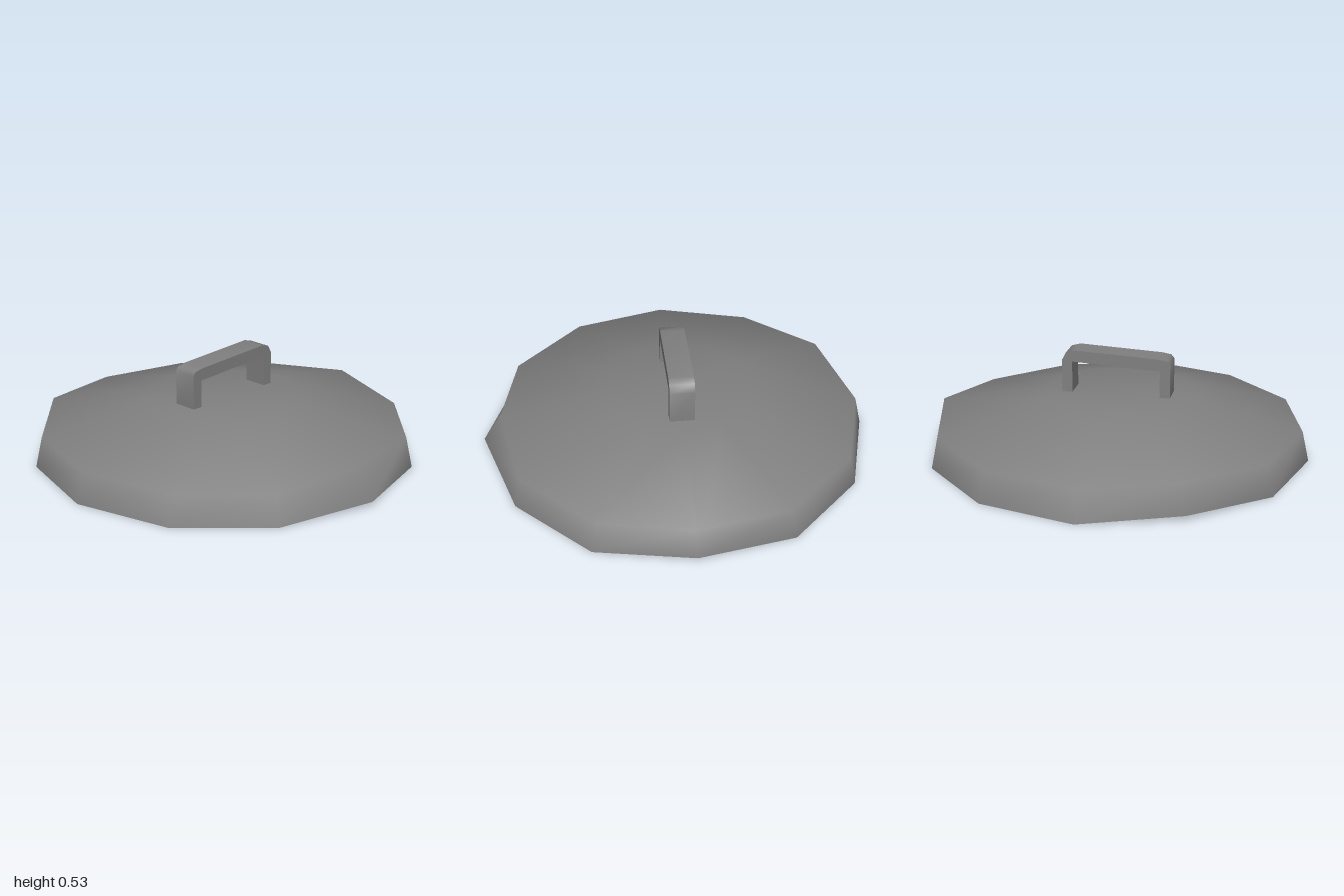
import * as THREE from 'three';
import { toCreasedNormals } from 'three/addons/utils/BufferGeometryUtils.js';

const SIDES = 12;
const CX = -0.01;

// One ring of the lid, with optional dents: { corner: [radius, y, zShift] }
function ring(radius, y, dents = {}) {
  return Array.from({ length: SIDES }, (_, k) => {
    const [r, h, dz] = dents[k] ?? [radius, y, 0];
    const a = (k / SIDES) * Math.PI * 2;
    return [CX + r * Math.cos(a), h, r * Math.sin(a) + dz];
  });
}

function build(points, index) {
  const g = new THREE.BufferGeometry();
  g.setAttribute('position', new THREE.Float32BufferAttribute(points.flat(), 3));
  g.setIndex(index);
  return g;
}

export function createModel() {
  const group = new THREE.Group();
  group.name = 'lid';
  const metal = new THREE.MeshStandardMaterial({ color: 0x808080 });
  metal.name = 'grey metal';

  const add = (name, geometry) => {
    const mesh = new THREE.Mesh(geometry, metal);
    mesh.name = name;
    group.add(mesh);
  };

  // Rings from the dented lower rim up to the flat crown
  const rim = ring(0.985, 0, { 0: [1.01, 0.025, 0.02], 4: [0.985, 0, 0], 5: [0.985, 0.03, 0], 9: [0.985, 0.04, 0] });
  const shoulder = ring(0.95, 0.155, { 0: [0.915, 0.175, 0.02], 5: [0.95, 0.185, 0], 9: [0.95, 0.195, 0] });
  const crown = ring(0.385, 0.305);
  const rings = [rim, shoulder, crown];

  // Smooth dome: side wall, slope and crown
  const domeIndex = [];
  const top = rings.length * SIDES;
  for (let k = 0; k < SIDES; k++) {
    const n = (k + 1) % SIDES;
    for (let r = 0; r < rings.length - 1; r++) {
      const a = r * SIDES + k, b = r * SIDES + n;
      domeIndex.push(a, a + SIDES, b, b, a + SIDES, b + SIDES);
    }
    domeIndex.push(top, top - SIDES + n, top - SIDES + k);
  }
  const dome = build([...rings.flat(), [CX, 0.305, 0]], domeIndex);
  dome.computeVertexNormals();
  add('dome', dome);

  // Flat underside, faceted where the rim is dented
  const baseIndex = [];
  for (let k = 0; k < SIDES; k++) baseIndex.push(SIDES, k, (k + 1) % SIDES);
  const base = build([...rim, [CX, 0, 0]], baseIndex).toNonIndexed();
  base.computeVertexNormals();
  add('underside', base);

  // Bent strap handle: side profile (z, y) extruded across x
  const profile = [
    [0.278, 0.295], [0.278, 0.48], [0.262, 0.5], [0.215, 0.508],
    [-0.215, 0.528], [-0.262, 0.515], [-0.283, 0.475], [-0.283, 0.295],
    [-0.23, 0.295], [-0.23, 0.468], [0.225, 0.445], [0.225, 0.295],
  ].map(([z, y]) => new THREE.Vector2(z, y));
  const strap = new THREE.ExtrudeGeometry(new THREE.Shape(profile), { depth: 0.127, bevelEnabled: false });
  strap.rotateY(-Math.PI / 2).translate(0.055, 0, 0);
  add('handle', toCreasedNormals(strap, 1.0));

  return group;
}
